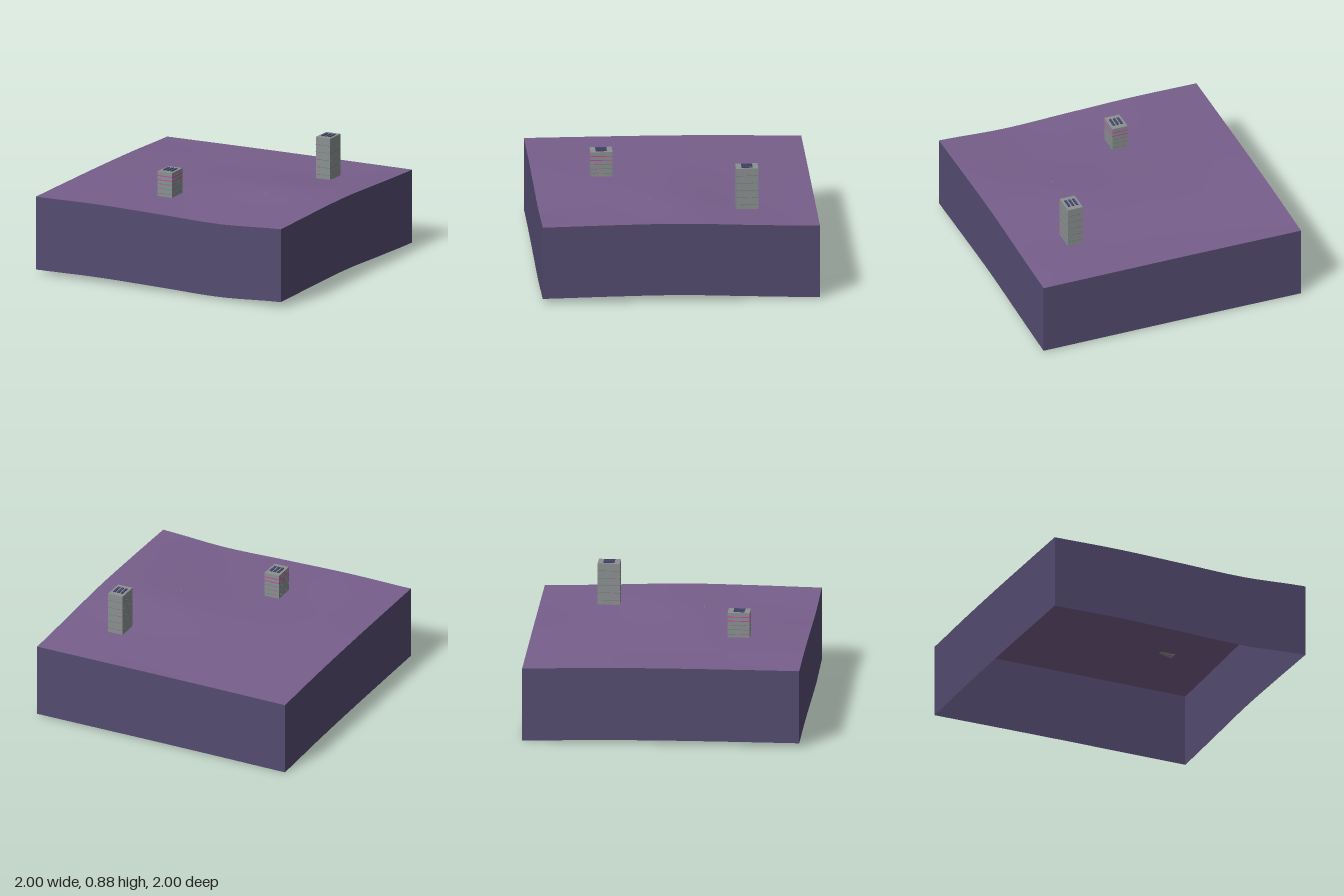
import * as THREE from 'three';

const material = (name, color, side = THREE.FrontSide) => {
  const m = new THREE.MeshStandardMaterial({ color, side });
  m.name = name;
  return m;
};

// Ground heights, rows from back to front, columns from -x to +x
const HEIGHTS = [
  [0.545, 0.549, 0.552, 0.553, 0.554],
  [0.561, 0.560, 0.560, 0.563, 0.572],
  [0.570, 0.570, 0.580, 0.598, 0.592],
  [0.573, 0.575, 0.575, 0.577, 0.592],
  [0.574, 0.580, 0.571, 0.561, 0.586],
];
const DEPTH = 0.543;

// Smooth curve through five evenly spaced values, t from -1 to 1
function spline(values, t) {
  const s = (t + 1) * 2;
  const i = Math.min(3, Math.floor(s));
  const f = s - i;
  const at = (k) => values[Math.max(0, Math.min(4, k))];
  const [a, b, c, d] = [at(i - 1), at(i), at(i + 1), at(i + 2)];
  return b + 0.5 * f * (c - a + f * (2 * a - 5 * b + 4 * c - d + f * (3 * (b - c) + d - a)));
}
const heightAt = (x, z) => spline(HEIGHTS.map((row) => spline(row, x)), z);

// Rolling ground surface
function groundGeometry() {
  const g = new THREE.PlaneGeometry(2, 2, 40, 40).rotateX(-Math.PI / 2);
  const p = g.attributes.position;
  for (let i = 0; i < p.count; i++) p.setY(i, heightAt(p.getX(i), p.getZ(i)));
  g.computeVertexNormals();
  return g;
}

// One side wall, following the ground edge at top and bottom
function wallGeometry(turn) {
  const g = new THREE.PlaneGeometry(2, 1, 40, 1).translate(0, 0, 1).rotateY(turn * Math.PI / 2);
  const p = g.attributes.position;
  for (let i = 0; i < p.count; i++) {
    const x = Math.max(-1, Math.min(1, p.getX(i)));
    const z = Math.max(-1, Math.min(1, p.getZ(i)));
    p.setY(i, heightAt(x, z) - (p.getY(i) < 0 ? DEPTH : 0));
  }
  return g;
}

function addBox(parent, name, mat, size, position) {
  const mesh = new THREE.Mesh(new THREE.BoxGeometry(...size), mat);
  mesh.position.set(...position);
  mesh.name = name;
  parent.add(mesh);
}

export function createModel() {
  const group = new THREE.Group();
  const ground = material('ground purple', 0x775f8b, THREE.DoubleSide);
  const earth = material('earth indigo', 0x544b70, THREE.DoubleSide);
  const concrete = material('concrete grey', 0x8b9091);
  const seam = material('seam grey', 0x757a7c);
  const vent = material('vent slate', 0x42466a);
  const pink = material('light magenta', 0xc840a8);
  const green = material('light green', 0x3f9a70);

  const surface = new THREE.Mesh(groundGeometry(), ground);
  surface.name = 'ground';
  group.add(surface);
  for (let i = 0; i < 4; i++) {
    const wall = new THREE.Mesh(wallGeometry(i), earth);
    wall.name = 'sideWall';
    group.add(wall);
  }

  // Towers with floor bands, small lights and roof vents
  const W = 0.116, D = 0.16;
  function tower(name, x, z, top, bands, pinkBands) {
    const t = new THREE.Group();
    t.name = name;
    t.position.set(x, 0, z);
    const base = heightAt(x, z) + 0.002;
    addBox(t, 'body', concrete, [W, top - base, D], [0, (top + base) / 2, 0]);
    for (const y of bands) {
      addBox(t, 'floorBand', seam, [W + 0.001, 0.003, D + 0.001], [0, y, 0]);
      // Lights run through the body and show on opposite faces
      for (const k of [-1, 1]) {
        addBox(t, 'frontLight', k < 0 ? pink : green, [0.01, 0.005, D + 0.003], [k * 0.028, y, 0]);
        addBox(t, 'sideLight', k < 0 ? green : pink, [W + 0.003, 0.005, 0.01], [0, y, k * 0.04]);
      }
    }
    for (const y of pinkBands) addBox(t, 'lightBand', pink, [W + 0.002, 0.006, D + 0.002], [0, y, 0]);
    for (const k of [-1, 0, 1]) addBox(t, 'roofVent', vent, [0.017, 0.006, 0.08], [k * 0.03, top + 0.003, 0]);
    group.add(t);
  }
  tower('tallTower', 0.582, -0.5, 0.875, [0.6, 0.655, 0.71, 0.765, 0.82], []);
  tower('shortTower', -0.172, 0.5, 0.762, [0.6, 0.635, 0.67], [0.7, 0.73]);

  // Footing hidden beneath the rise
  addBox(group, 'buriedFooting', concrete, [0.08, 0.006, 0.12], [0.48, heightAt(0.48, 0.14) - 0.006, 0.14]);
  return group;
}
